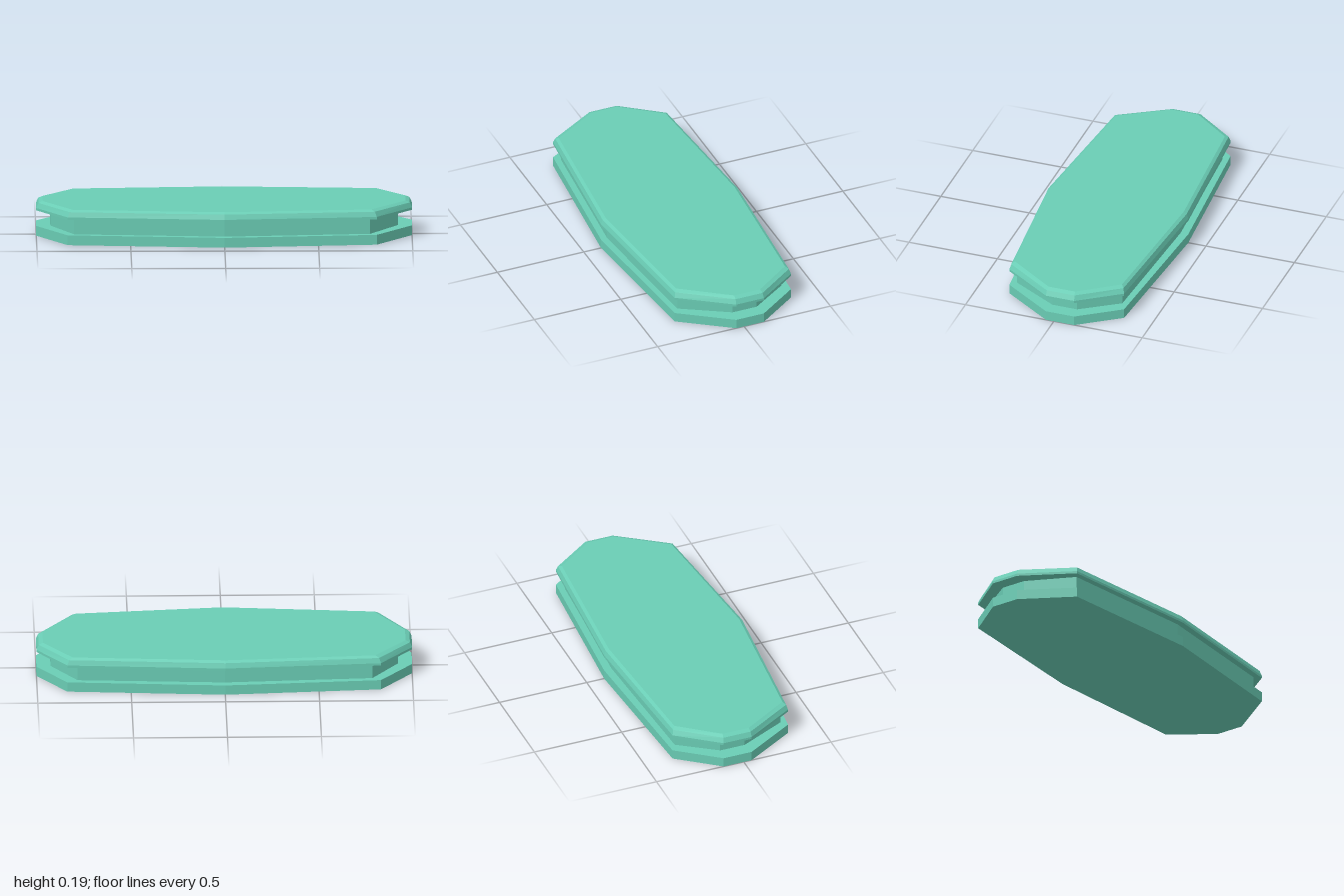
import * as THREE from 'three';

// Outlines as [x, z], running round from the middle of the back
const slabOutline = [
  [0, -0.4], [0.84, -0.34], [1, -0.115], [1, 0.045], [0.81, 0.32],
  [0, 0.4], [-0.835, 0.32], [-1, 0.045], [-1, -0.115], [-0.83, -0.34],
];
const waistOutline = [
  [0, -0.357], [0.785, -0.31], [0.925, -0.105], [0.925, 0.035], [0.775, 0.29],
  [0, 0.364], [-0.8, 0.29], [-0.925, 0.035], [-0.925, -0.105], [-0.785, -0.31],
];

// Flat-faced solid lofted through levels [y, xScale, zScale], capped at both ends
function loft(outline, levels) {
  const n = outline.length;
  const rings = levels.map(([y, sx, sz]) =>
    outline.map(([x, z]) => [x * sx, y, z * sz]));
  const pos = [];
  const tri = (...pts) => pts.forEach((p) => pos.push(...p));
  const low = rings[0];
  const high = rings[rings.length - 1];
  for (let i = 0; i < n; i++) {
    const j = (i + 1) % n;
    for (let k = 0; k < rings.length - 1; k++) {
      const a = rings[k];
      const b = rings[k + 1];
      tri(a[i], b[i], a[j]);
      tri(a[j], b[i], b[j]);
    }
    tri([0, low[0][1], 0], low[i], low[j]);
    tri([0, high[0][1], 0], high[j], high[i]);
  }
  const geometry = new THREE.BufferGeometry();
  geometry.setAttribute('position', new THREE.Float32BufferAttribute(pos, 3));
  geometry.computeVertexNormals();
  return geometry;
}

export function createModel() {
  const group = new THREE.Group();
  group.name = 'slabPlatform';
  const material = new THREE.MeshStandardMaterial({ color: 0x6acdb5, flatShading: true });
  const add = (name, outline, levels) => {
    const mesh = new THREE.Mesh(loft(outline, levels), material);
    mesh.name = name;
    group.add(mesh);
  };

  // Straight-sided base slab
  add('baseSlab', slabOutline, [[0, 1, 1], [0.053, 1, 1]]);
  // Recessed waist between the slabs
  add('waist', waistOutline, [[0.053, 1, 1], [0.137, 1, 1]]);
  // Top slab with a two-step bevelled edge
  add('topSlab', slabOutline, [
    [0.137, 1, 1], [0.15, 1, 1], [0.177, 0.988, 0.977], [0.187, 0.965, 0.935],
  ]);
  return group;
}
